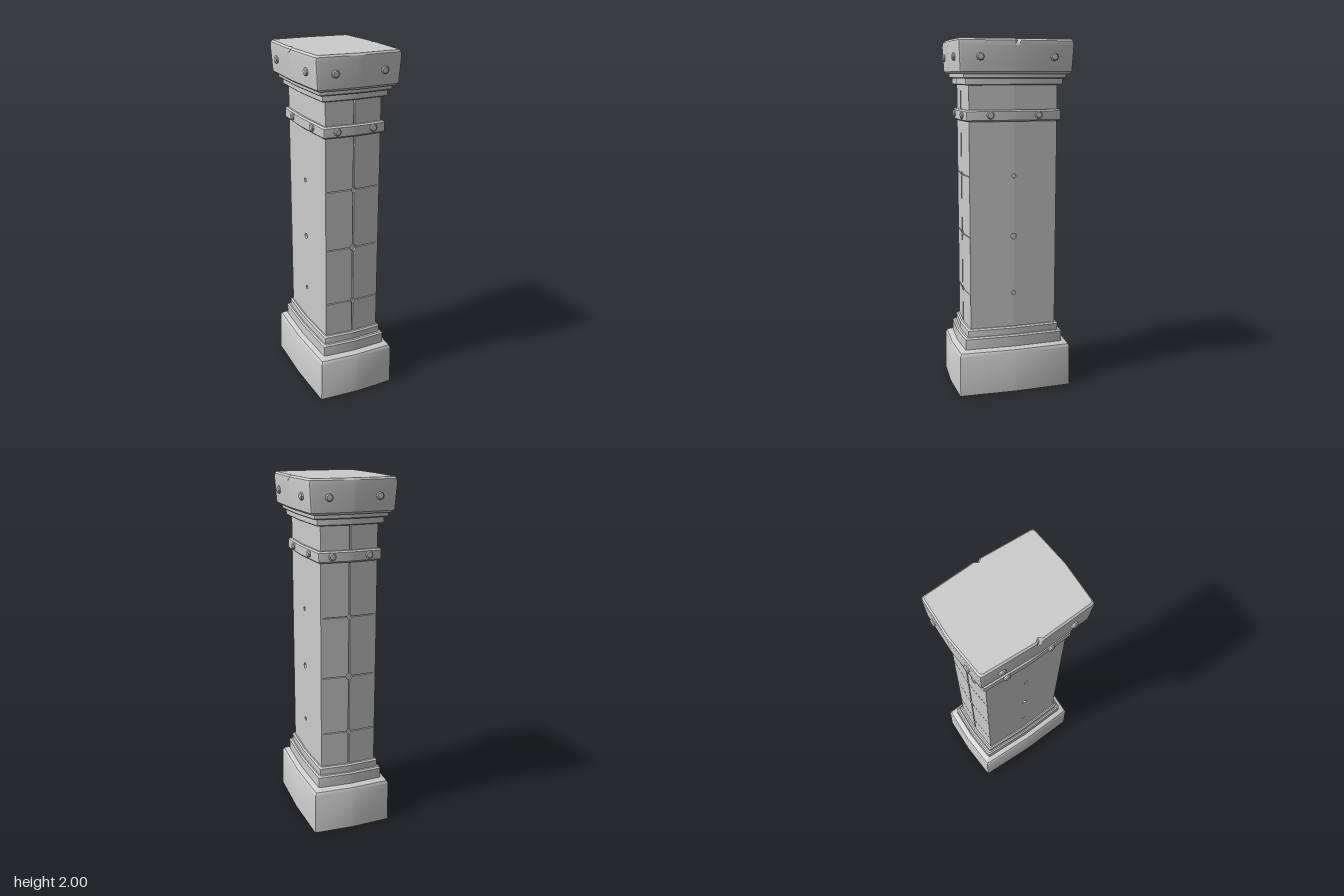
import * as THREE from 'three';
import { toCreasedNormals } from 'three/addons/utils/BufferGeometryUtils.js';

const stone = new THREE.MeshStandardMaterial({ color: 0xcccccc });
stone.name = 'stone';

// Rounded rectangle with slightly peaked sides. hx, hz: half sizes at the corners,
// bow: extra at the middle of each side, r: corner radius, nick: chip in the x sides.
function ring({ y, hx, hz, bow = 0.011, r = 0.01, nick = 0 }) {
  const pts = [];
  for (let q = 0; q < 4; q++) {
    const alongX = q % 2 === 0;
    const half = alongX ? hx : hz;
    const across = alongX ? hz : hx;
    const local = [];
    for (const s of [-0.018, 0, 0.018]) {
      const chip = alongX && s === 0 ? nick : 0;
      local.push([half + bow * (1 - Math.abs(s) / across) - chip, s]);
    }
    for (const a of [0, Math.PI / 4, Math.PI / 2]) {
      local.push([half - r + r * Math.cos(a), across - r + r * Math.sin(a)]);
    }
    // quarter turns, counter-clockwise from above
    const c = Math.round(Math.cos(q * Math.PI / 2));
    const n = Math.round(Math.sin(q * Math.PI / 2));
    for (const [u, v] of local) pts.push([u * c - v * n, y, -(u * n + v * c)]);
  }
  return pts;
}

// Closed solid through a stack of rings, bottom to top
function loft(profile) {
  const rings = profile.map(ring);
  const n = rings[0].length;
  const pos = [];
  const tri = (...p) => p.forEach((v) => pos.push(...v));
  const first = rings[0], last = rings[rings.length - 1];
  for (let j = 0; j < n; j++) {
    const k = (j + 1) % n;
    for (let i = 0; i + 1 < rings.length; i++) {
      const a = rings[i], b = rings[i + 1];
      tri(a[j], a[k], b[k]);
      tri(a[j], b[k], b[j]);
    }
    tri([0, first[0][1], 0], first[k], first[j]);
    tri([0, last[0][1], 0], last[j], last[k]);
  }
  const g = new THREE.BufferGeometry();
  g.setAttribute('position', new THREE.Float32BufferAttribute(pos, 3));
  return toCreasedNormals(g, 0.5);
}

// Slab with softened upper and lower edges
function slab(y0, y1, hx, hz, e = 0.008, r = 0.01) {
  return [
    { y: y0, hx: hx - e, hz: hz - e, r },
    { y: y0 + e, hx, hz, r },
    { y: y1 - e, hx, hz, r },
    { y: y1, hx: hx - e, hz: hz - e, r },
  ];
}

// Shaft dimensions
const HX = 0.163, HZ = 0.252, BOW = 0.011, T = 0.012;
const LEVELS = [0.365, 0.575, 0.91, 1.255, 1.765];

// One facing block, reaching from the centre line to a corner, bitten at the holes
function block(s, half, depth, y0, y1, r0, r1, gap) {
  const pts = [[half, y0], [half, y1]];
  const steps = 4;
  for (let i = 0; i <= steps; i++) {
    const a = i / steps * Math.PI / 2;
    if (r1 > 0) pts.push([Math.max(gap, r1 * Math.cos(a)), y1 - r1 * Math.sin(a)]);
  }
  if (!r1) pts.push([gap, y1]);
  for (let i = steps; i >= 0; i--) {
    const a = i / steps * Math.PI / 2;
    if (r0 > 0) pts.push([Math.max(gap, r0 * Math.cos(a)), y0 + r0 * Math.sin(a)]);
  }
  if (!r0) pts.push([gap, y0]);
  const shape = new THREE.Shape(pts.map(([u, v]) => new THREE.Vector2(s * u, v)));
  const g = new THREE.ExtrudeGeometry(shape, { depth: T, bevelEnabled: false });
  const p = g.attributes.position;
  for (let i = 0; i < p.count; i++) {
    p.setZ(i, p.getZ(i) + depth - T + BOW * (1 - Math.abs(p.getX(i)) / half));
  }
  g.computeVertexNormals();
  return g;
}

export function createModel() {
  const model = new THREE.Group();
  model.name = 'pillar';
  const add = (name, geometry, parent = model) => {
    const m = new THREE.Mesh(geometry, stone);
    m.name = name;
    parent.add(m);
    return m;
  };

  // Plinth and the two steps above it
  add('plinth', loft([
    { y: 0, hx: 0.232, hz: 0.333 },
    { y: 0.235, hx: 0.228, hz: 0.33 },
    { y: 0.25, hx: 0.22, hz: 0.322 },
    { y: 0.262, hx: 0.196, hz: 0.296 },
  ]));
  add('lowerStep', loft(slab(0.25, 0.33, 0.193, 0.291)));
  add('upperStep', loft(slab(0.32, 0.375, 0.178, 0.271)));

  // Recessed core seen through the joints and holes
  add('shaftCore', loft([
    { y: 0.35, hx: HX - T, hz: HZ - T, r: 0.003 },
    { y: 1.78, hx: HX - T, hz: HZ - T, r: 0.003 },
  ]));

  // Facing blocks: jointed on front and back, plain with holes on the sides
  for (let f = 0; f < 4; f++) {
    const face = new THREE.Group();
    face.name = ['frontFacing', 'leftFacing', 'backFacing', 'rightFacing'][f];
    face.rotation.y = f * Math.PI / 2;
    model.add(face);
    const jointed = f % 2 === 0;
    const [half, depth] = jointed ? [HX, HZ] : [HZ, HX];
    const seam = jointed ? 0.0025 : 0;
    const holes = [0, 0.012, 0.017, 0.012, 0];
    for (let i = 0; i < 4; i++) {
      for (const s of [-1, 1]) {
        add('facingBlock', block(s, half, depth, LEVELS[i] + seam, LEVELS[i + 1] - seam,
          holes[i], holes[i + 1], jointed ? 0.004 : 0), face);
      }
    }
  }

  // Band, neck mouldings and cap
  add('band', loft(slab(1.558, 1.622, 0.181, 0.272)));
  add('neckMoulding', loft(slab(1.755, 1.8, 0.191, 0.276, 0.005)));
  add('capMoulding', loft(slab(1.79, 1.83, 0.21, 0.291, 0.006)));
  add('cap', loft([
    { y: 1.815, hx: 0.222, hz: 0.304, r: 0.015 },
    { y: 1.827, hx: 0.236, hz: 0.316, r: 0.015 },
    { y: 1.965, hx: 0.245, hz: 0.322, bow: 0.013, r: 0.015 },
    { y: 1.99, hx: 0.243, hz: 0.32, bow: 0.013, r: 0.015, nick: 0.012 },
    { y: 2, hx: 0.234, hz: 0.312, bow: 0.013, r: 0.015, nick: 0.016 },
  ]));

  // Studs on band and cap, a pair on every side
  const stud = new THREE.LatheGeometry([
    [0.021, -0.012], [0.021, 0.007], [0.016, 0.012], [0, 0.013],
  ].map(([x, y]) => new THREE.Vector2(x, y)), 8);
  stud.rotateX(Math.PI / 2);
  const studGeo = toCreasedNormals(stud, 0.5);
  const rows = [
    { name: 'bandStud', y: 1.593, front: [0.105, 0.276], side: [0.137, 0.187] },
    { name: 'capStud', y: 1.905, front: [0.14, 0.325], side: [0.205, 0.247] },
  ];
  for (const row of rows) {
    for (let f = 0; f < 4; f++) {
      const [u, d] = f % 2 === 0 ? row.front : row.side;
      const side = new THREE.Group();
      side.name = row.name + 's';
      side.rotation.y = f * Math.PI / 2;
      model.add(side);
      for (const s of [-1, 1]) add(row.name, studGeo, side).position.set(s * u, row.y, d);
    }
  }
  return model;
}
